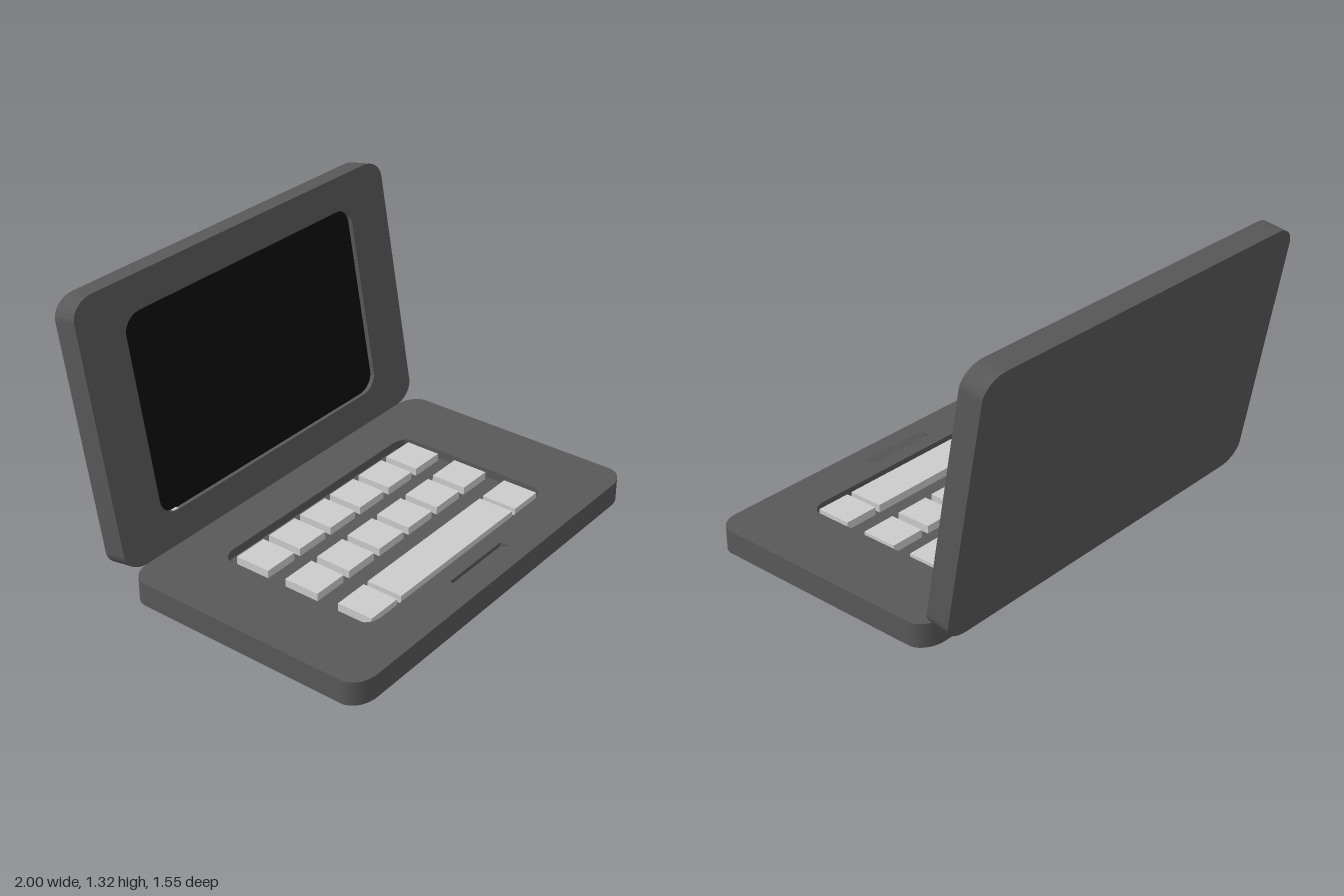
import * as THREE from 'three';
import { toCreasedNormals } from 'three/addons/utils/BufferGeometryUtils.js';

const bodyMat = new THREE.MeshStandardMaterial({ color: 0x585858 });
const screenMat = new THREE.MeshStandardMaterial({ color: 0x0e0e0e });
const keyMat = new THREE.MeshStandardMaterial({ color: 0xcccccc });

// Rectangle with elliptical corners, drawn on a Shape or a Path
function roundedRect(target, x0, x1, y0, y1, rx, ry) {
  const q = Math.PI / 2;
  target.moveTo(x0 + rx, y0);
  target.lineTo(x1 - rx, y0);
  target.absellipse(x1 - rx, y0 + ry, rx, ry, -q, 0, false, 0);
  target.lineTo(x1, y1 - ry);
  target.absellipse(x1 - rx, y1 - ry, rx, ry, 0, q, false, 0);
  target.lineTo(x0 + rx, y1);
  target.absellipse(x0 + rx, y1 - ry, rx, ry, q, 2 * q, false, 0);
  target.lineTo(x0, y0 + ry);
  target.absellipse(x0 + rx, y0 + ry, rx, ry, 2 * q, 3 * q, false, 0);
  return target;
}

function extrude(shape, depth) {
  const g = new THREE.ExtrudeGeometry(shape, { depth, bevelEnabled: false, curveSegments: 8 });
  return toCreasedNormals(g, 0.6);
}

function add(parent, name, geometry, material, x = 0, y = 0, z = 0) {
  const mesh = new THREE.Mesh(geometry, material);
  mesh.name = name;
  mesh.position.set(x, y, z);
  parent.add(mesh);
  return mesh;
}

const THICK = 0.112;
const FLOOR = 0.07; // height of the keyboard well floor

function createBase() {
  const base = new THREE.Group();
  base.name = 'base';
  // Plan shapes use y = -z and are laid flat afterwards
  const outline = () => roundedRect(new THREE.Shape(), -1, 1, -0.775, 0.455, 0.12, 0.09);
  const flat = (shape, depth) => extrude(shape, depth).rotateX(-Math.PI / 2);
  add(base, 'baseBottom', flat(outline(), FLOOR), bodyMat);

  // Top plate with the keyboard well and the finger notch cut out
  const plate = outline();
  plate.holes.push(roundedRect(new THREE.Path(), -0.655, 0.645, -0.56, 0.24, 0.08, 0.06));
  plate.holes.push(new THREE.Path([
    [-0.2, -0.69], [0.175, -0.69], [0.175, -0.635], [-0.2, -0.635],
  ].map(([x, y]) => new THREE.Vector2(x, y))));
  add(base, 'baseTop', flat(plate, THICK - FLOOR), bodyMat, 0, FLOOR, 0);

  // Sloped floor of the notch, rising towards the front
  const wedge = new THREE.Shape([
    [0.635, FLOOR], [0.69, FLOOR], [0.69, THICK], [0.635, 0.092],
  ].map(([z, y]) => new THREE.Vector2(-z, y)));
  add(base, 'notchSlope', extrude(wedge, 0.375).rotateY(Math.PI / 2), bodyMat, -0.2, 0, 0);
  return base;
}

function createKeyboard() {
  const keyboard = new THREE.Group();
  keyboard.name = 'keyboard';
  const key = (name, x0, x1, z0) => add(keyboard, name,
    new THREE.BoxGeometry(x1 - x0, 0.039, 0.175), keyMat,
    (x0 + x1) / 2, FLOOR + 0.0185, z0 + 0.0875);
  // Two rows of square keys
  for (const z of [-0.195, 0.075]) {
    for (let i = 0; i < 6; i++) {
      const x = -0.605 + i * 0.211;
      key('key', x, x + 0.173, z);
    }
  }
  // Bottom row with the long bar
  key('key', -0.605, -0.432, 0.358);
  key('spaceBar', -0.405, 0.42, 0.358);
  key('key', 0.445, 0.617, 0.358);
  return keyboard;
}

function createLid() {
  const lid = new THREE.Group();
  lid.name = 'lid';
  const recess = 0.025;
  const outline = () => roundedRect(new THREE.Shape(), -1, 1, 0, 1.225, 0.12, 0.09);
  add(lid, 'lidBack', extrude(outline(), THICK - recess), bodyMat, 0, 0, -THICK);

  // Bezel around the sunken screen
  const bezel = outline();
  bezel.holes.push(roundedRect(new THREE.Path(), -0.747, 0.743, 0.15, 1.07, 0.1, 0.08));
  add(lid, 'bezel', extrude(bezel, recess), bodyMat, 0, 0, -recess);
  const screen = roundedRect(new THREE.Shape(), -0.747, 0.743, 0.15, 1.07, 0.1, 0.08);
  add(lid, 'screen', new THREE.ShapeGeometry(screen, 8), screenMat, 0, 0, -recess + 0.002);

  // Small light on the lower ledge of the screen
  add(lid, 'indicator', new THREE.BoxGeometry(0.03, 0.006, 0.016), keyMat, -0.663, 0.152, -0.013);

  // Hinged at the rear top edge of the base and leaning back
  lid.position.set(0, THICK, -0.455);
  lid.rotation.x = -THREE.MathUtils.degToRad(10);
  return lid;
}

export function createModel() {
  const model = new THREE.Group();
  model.name = 'laptop';
  model.add(createBase(), createKeyboard(), createLid());
  return model;
}
